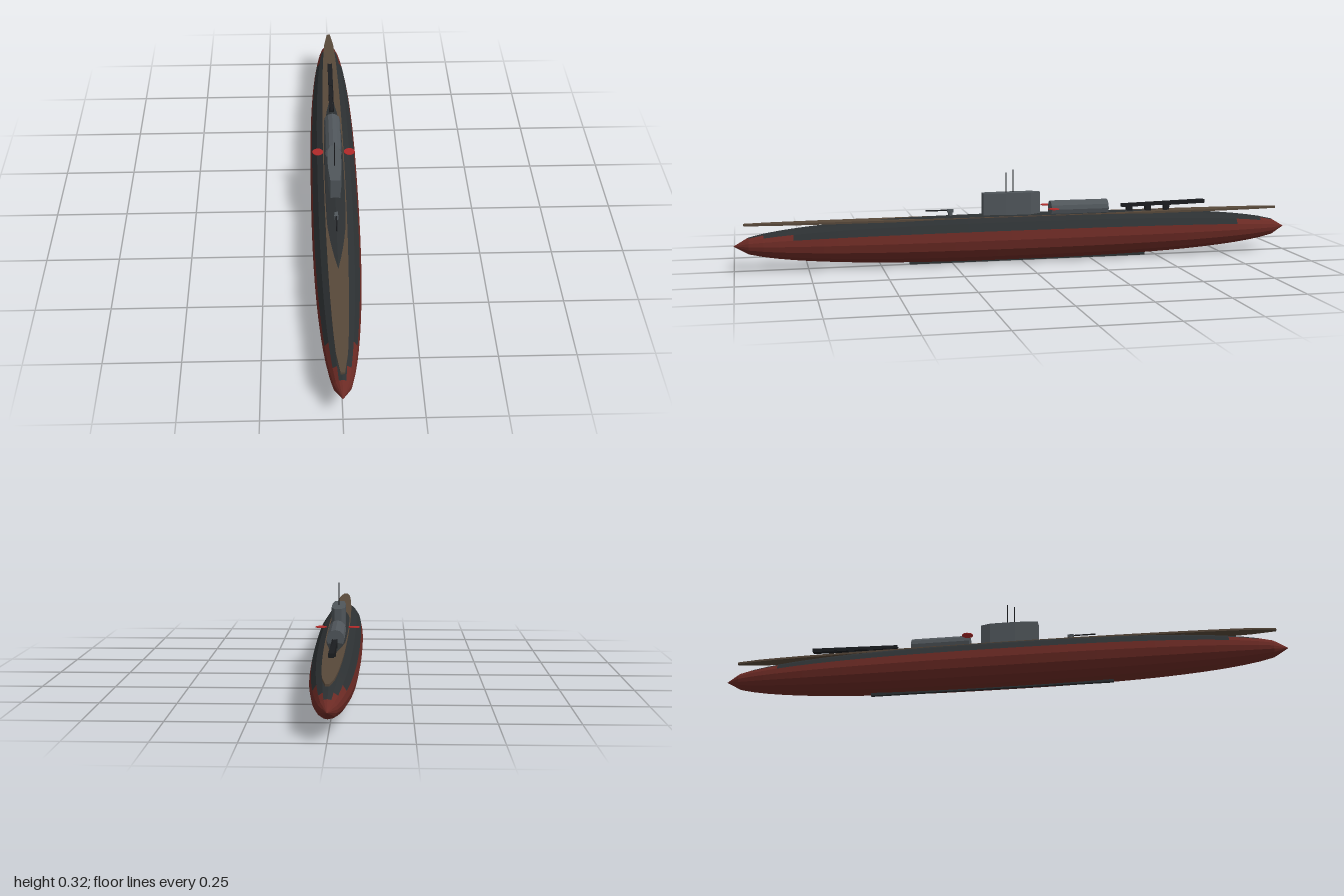
import * as THREE from 'three';

const R = 0.084, AXIS = 0.087;
const mat = (color) => new THREE.MeshStandardMaterial({ color, flatShading: true });
const red = mat(0x6b2a24), dark = mat(0x2c3032), grey = mat(0x50565b), black = mat(0x1b1d20);
const wood = mat(0x57483a), disc = mat(0xb02a2a);

// Hull radius along its length
const radius = (z) => R * Math.sqrt(Math.max(0, 1 - Math.abs(z) ** 2.5));

// Faces of the 16-sided hull whose centre passes the test
function hullPart(test) {
  const pos = [], rings = 40, sides = 16;
  const point = (i, j) => {
    const z = -1 + (2 * i) / rings, r = radius(z), a = (j / sides) * Math.PI * 2;
    return new THREE.Vector3(Math.cos(a) * r, AXIS + Math.sin(a) * r, z);
  };
  for (let i = 0; i < rings; i++) {
    for (let j = 0; j < sides; j++) {
      const q = [point(i, j), point(i, j + 1), point(i + 1, j + 1), point(i + 1, j)];
      if (!test((q[0].y + q[1].y + q[2].y + q[3].y) / 4)) continue;
      for (const k of [0, 1, 2, 0, 2, 3]) pos.push(q[k].x, q[k].y, q[k].z);
    }
  }
  const g = new THREE.BufferGeometry();
  g.setAttribute('position', new THREE.Float32BufferAttribute(pos, 3));
  g.computeVertexNormals();
  return g;
}

// Plan outline from [z, half width] pairs, extruded upwards
function planExtrude(outline, y0, y1) {
  const right = outline.map(([z, w]) => new THREE.Vector2(w, -z));
  const left = outline.map(([z, w]) => new THREE.Vector2(-w, -z)).reverse();
  const g = new THREE.ExtrudeGeometry(new THREE.Shape([...right, ...left]), { depth: y1 - y0, bevelEnabled: false });
  return g.rotateX(-Math.PI / 2).translate(0, y0, 0);
}

export function createModel() {
  const model = new THREE.Group();
  const add = (name, geometry, material, x = 0, y = 0, z = 0, parent = model) => {
    const m = new THREE.Mesh(geometry, material);
    m.name = name;
    m.position.set(x, y, z);
    parent.add(m);
    return m;
  };
  const box = (w, h, d) => new THREE.BoxGeometry(w, h, d);
  const rod = (r, h, n = 8) => new THREE.CylinderGeometry(r, r, h, n);

  // Hull in two colours, with a shallow keel
  const isUpper = (y) => y > AXIS + 0.03;
  add('lowerHull', hullPart((y) => !isUpper(y)), red);
  add('upperHull', hullPart(isUpper), dark);
  add('keel', box(0.012, 0.01, 0.86), dark, 0, 0.005, -0.03);

  // Wooden deck, a long thin leaf
  const deck = [];
  for (let i = 0; i <= 24; i++) {
    const z = -0.965 + (1.93 * i) / 24;
    deck.push([z, 0.005 + 0.033 * Math.sqrt(1 - (z / 0.966) ** 2)]);
  }
  add('deck', planExtrude(deck, 0.156, 0.163), wood);

  // Conning tower and periscopes
  const tower = [[-0.065, 0.012], [-0.03, 0.024], [0.06, 0.024], [0.14, 0.017]];
  add('conningTower', planExtrude(tower, 0.155, 0.244), grey);
  add('mainPeriscope', rod(0.0018, 0.085), black, 0, 0.282, 0.03);
  add('rearPeriscope', rod(0.0018, 0.075), black, 0, 0.277, 0.055);

  // Rounded hangar behind the tower
  add('hangar', rod(0.03, 0.21, 12).rotateX(Math.PI / 2), grey, 0, 0.18, -0.21);

  // Red discs either side
  for (const s of [-1, 1]) add('sideDisc', rod(0.02, 0.002, 16), disc, s * 0.057, 0.187, -0.105);

  // Deck gun
  const gun = new THREE.Group();
  gun.name = 'deckGun';
  model.add(gun);
  add('gunPedestal', rod(0.008, 0.016), grey, 0, 0.175, 0.255, gun);
  add('gunBreech', box(0.012, 0.01, 0.022), grey, 0, 0.185, 0.255, gun);
  add('gunBarrel', rod(0.0025, 0.085).rotateX(Math.PI / 2), black, 0, 0.187, 0.3, gun);

  // Launch ramp, rising slightly to the stern
  const ramp = new THREE.Group();
  ramp.name = 'launchRamp';
  ramp.position.set(0, 0.187, -0.528);
  ramp.rotation.x = 0.025;
  model.add(ramp);
  add('rampBeam', box(0.01, 0.008, 0.315), black, 0, 0, 0, ramp);
  for (const s of [-1, 1]) add('rampRail', box(0.003, 0.012, 0.315), black, s * 0.0075, 0.001, 0, ramp);
  add('rampHead', box(0.016, 0.014, 0.15), black, 0, 0, -0.08, ramp);
  for (const z of [-0.4, -0.47, -0.54]) add('rampSupport', box(0.018, 0.028, 0.02), black, 0, 0.17, z);

  return model;
}
